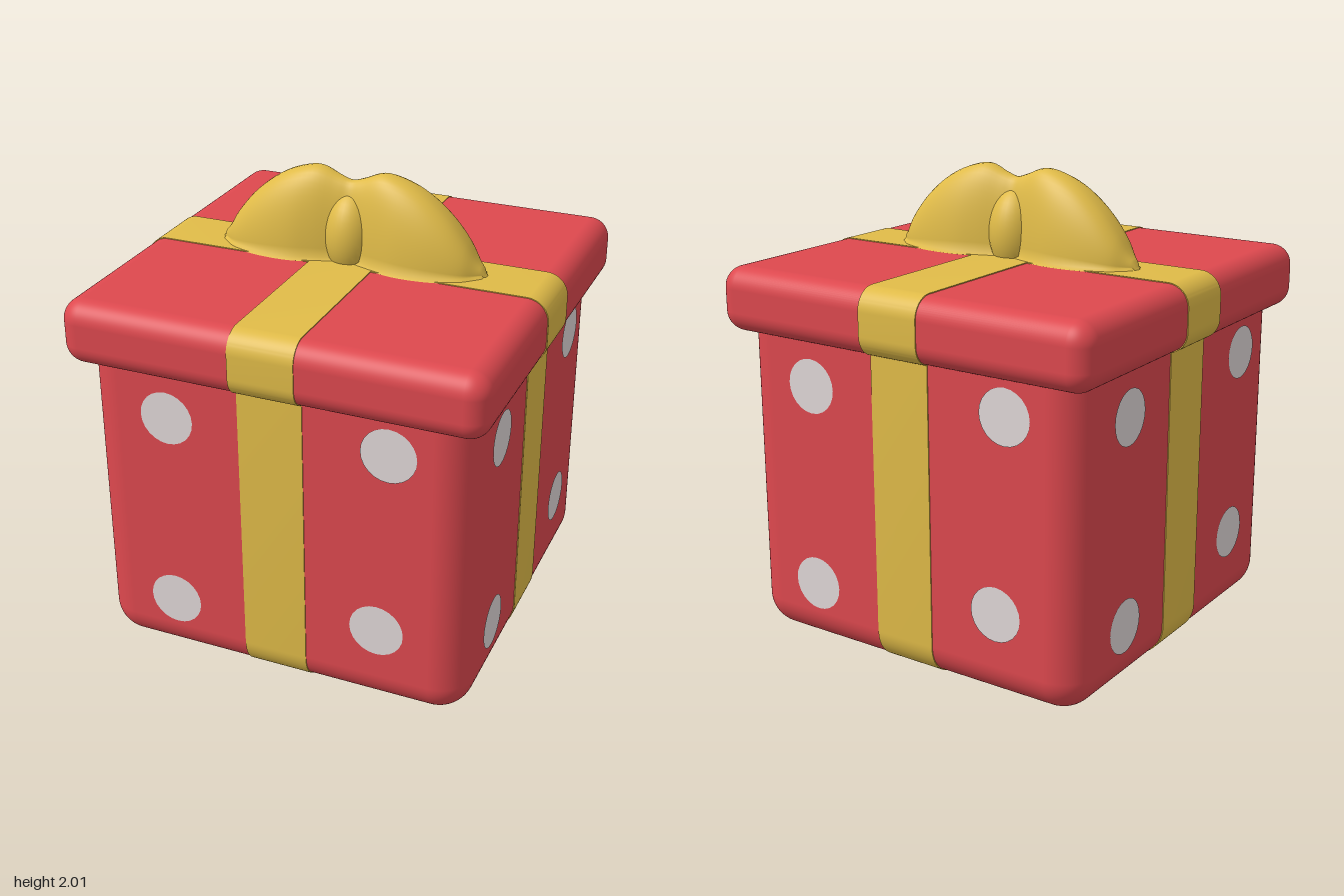
import * as THREE from 'three';
import { RoundedBoxGeometry } from 'three/addons/geometries/RoundedBoxGeometry.js';
import { toCreasedNormals } from 'three/addons/utils/BufferGeometryUtils.js';

const mat = (name, color) => {
  const m = new THREE.MeshStandardMaterial({ color });
  m.name = name;
  return m;
};

// Rounded rectangle path centred on the origin
function roundedRect(path, w, h, r) {
  const x = w / 2, y = h / 2;
  path.moveTo(-x + r, -y);
  path.lineTo(x - r, -y);
  path.absarc(x - r, -y + r, r, -Math.PI / 2, 0);
  path.lineTo(x, y - r);
  path.absarc(x - r, y - r, r, 0, Math.PI / 2);
  path.lineTo(-x + r, y);
  path.absarc(-x + r, y - r, r, Math.PI / 2, Math.PI);
  path.lineTo(-x, -y + r);
  path.absarc(-x + r, -y + r, r, Math.PI, Math.PI * 1.5);
  return path;
}

// Thin ribbon loop hugging a rounded box
function ribbonGeometry(w, h, r, width) {
  const lift = 0.004, sink = 0.004;
  const shape = roundedRect(new THREE.Shape(), w + 2 * lift, h + 2 * lift, r + lift);
  shape.holes.push(roundedRect(new THREE.Path(), w - 2 * sink, h - 2 * sink, r - sink));
  const g = new THREE.ExtrudeGeometry(shape, { depth: width, bevelEnabled: false, curveSegments: 10 });
  g.translate(0, 0, -width / 2);
  return toCreasedNormals(g, 0.6);
}

// Two-lobed bow lofted along x; each point holds x, height and half depth
function bowGeometry() {
  const half = [
    [0.05, 0.335, 0.085], [0.14, 0.368, 0.115], [0.23, 0.352, 0.136], [0.33, 0.305, 0.138],
    [0.43, 0.225, 0.122], [0.51, 0.13, 0.092], [0.56, 0.05, 0.05], [0.6, 0.004, 0.01],
  ];
  const pts = [
    ...half.map(([x, h, w]) => new THREE.Vector3(-x, h, w)).reverse(),
    new THREE.Vector3(0, 0.322, 0.072),
    ...half.map(([x, h, w]) => new THREE.Vector3(x, h, w)),
  ];
  const stations = new THREE.CatmullRomCurve3(pts).getPoints(72);
  const arc = 28, ring = arc + 3, pos = [], idx = [];
  stations.forEach(({ x, y: h, z: w }) => {
    pos.push(x, 0, w + 0.02);
    for (let j = 0; j <= arc; j++) {
      const a = (j / arc) * Math.PI, c = Math.cos(a);
      pos.push(x, 0.012 + h * Math.sin(a) - 0.012 * (h < 0.02), Math.sign(c) * w * Math.abs(c) ** 0.8);
    }
    pos.push(x, 0, -w - 0.02);
  });
  for (let i = 0; i < stations.length - 1; i++) {
    for (let j = 0; j < ring - 1; j++) {
      const a = i * ring + j, b = a + ring;
      idx.push(a, b, a + 1, b, b + 1, a + 1);
    }
  }
  const g = new THREE.BufferGeometry();
  g.setAttribute('position', new THREE.Float32BufferAttribute(pos, 3));
  g.setIndex(idx);
  g.computeVertexNormals();
  return g;
}

export function createModel() {
  const red = mat('red paper', 0xdd484e);
  const gold = mat('gold ribbon', 0xe0bb48);
  const white = mat('white dots', 0xe0d8d8);
  gold.side = THREE.DoubleSide;

  const model = new THREE.Group();
  model.name = 'giftBox';
  const add = (name, geo, material, parent = model) => {
    const m = new THREE.Mesh(geo, material);
    m.name = name;
    parent.add(m);
    return m;
  };

  // Box and lid, each with two crossing ribbon loops
  const boxes = [
    { name: 'box', w: 1.66, y0: 0.004, y1: 1.58, r: 0.15 },
    { name: 'lid', w: 1.8, y0: 1.355, y1: 1.633, r: 0.09 },
  ];
  for (const { name, w, y0, y1, r } of boxes) {
    const h = y1 - y0, y = (y0 + y1) / 2;
    add(name, new RoundedBoxGeometry(w, h, w, 8, r), red).position.y = y;
    const band = ribbonGeometry(w, h, r, 0.28);
    for (const turn of [0, Math.PI / 2]) {
      const ribbon = add(name + 'Ribbon', band, gold);
      ribbon.position.y = y;
      ribbon.rotation.y = turn;
    }
  }

  // Four dots on each side
  const dots = [[-0.46, 1.17], [0.5, 1.21], [-0.465, 0.29], [0.455, 0.385]];
  const dotGeo = new THREE.CircleGeometry(0.117, 24);
  for (let side = 0; side < 4; side++) {
    const face = new THREE.Group();
    face.name = 'sideDots';
    face.rotation.y = (side * Math.PI) / 2;
    for (const [x, y] of dots) add('dot', dotGeo, white, face).position.set(x, y, 0.834);
    model.add(face);
  }

  // Bow and its knot
  const bow = new THREE.Group();
  bow.name = 'bow';
  bow.position.y = 1.634;
  add('bowLoops', bowGeometry(), gold, bow);
  const knot = add('bowKnot', new THREE.SphereGeometry(1, 32, 20), gold, bow);
  knot.scale.set(0.115, 0.19, 0.135);
  knot.position.y = 0.1;
  model.add(bow);

  return model;
}
